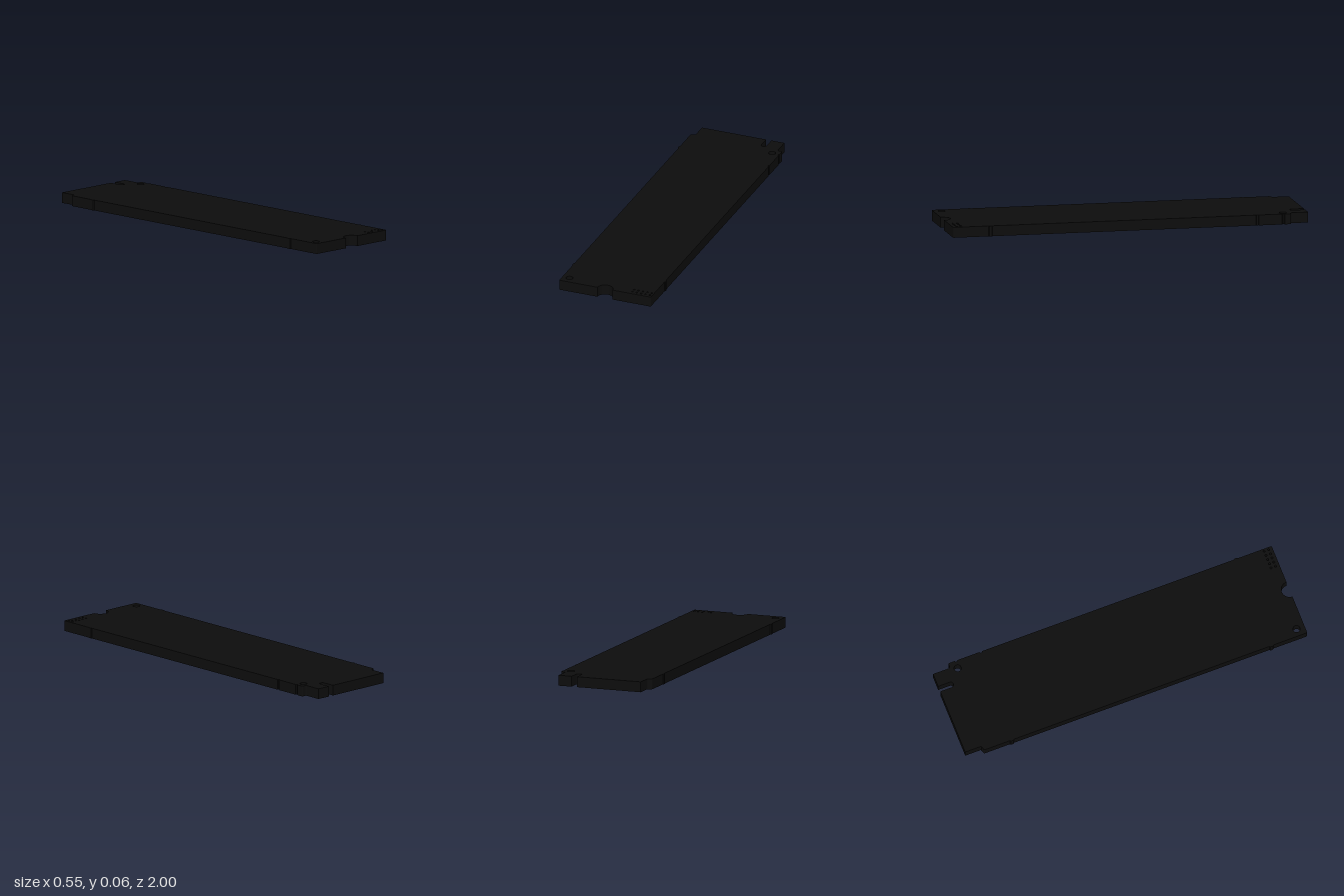
import * as THREE from 'three';

const THICKNESS = 0.058;
const HALF = 0.271; // half width of the board

// Plan outline, drawn with y = -z, counter-clockwise from the front left corner
function boardOutline() {
  const s = new THREE.Shape();
  const r = 0.008;
  // small bump (out > 0) or nick (out < 0) on a long edge
  const edgeMark = (side, z, out, half) => {
    const x = side * HALF;
    s.lineTo(x, -z - side * half);
    s.lineTo(x + side * out, -z - side * half * 0.6);
    s.lineTo(x + side * out, -z + side * half * 0.6);
    s.lineTo(x, -z + side * half);
  };

  // front edge with half-round screw notch
  s.moveTo(-HALF + r, -1);
  s.lineTo(-0.045, -1);
  s.absarc(0, -1, 0.045, Math.PI, 0, true);
  s.lineTo(HALF - r, -1);
  s.quadraticCurveTo(HALF, -1, HALF, -1 + r);

  // +x edge
  edgeMark(1, 0.79, 0.004, 0.012);
  edgeMark(1, -0.71, -0.006, 0.008);
  edgeMark(1, -0.855, -0.006, 0.008);
  s.lineTo(HALF, 0.9 - r);
  s.quadraticCurveTo(HALF, 0.9, HALF - r, 0.9);

  // connector tongue with rounded key slot
  s.lineTo(0.251, 0.9);
  s.quadraticCurveTo(0.243, 0.9, 0.243, 0.908);
  s.lineTo(0.243, 1);
  s.lineTo(0.166, 1);
  s.lineTo(0.166, 0.933);
  s.absarc(0.15, 0.933, 0.016, 0, -Math.PI, true);
  s.lineTo(0.134, 1);
  s.lineTo(-0.245, 1);
  s.lineTo(-0.245, 0.913);
  s.quadraticCurveTo(-0.245, 0.905, -0.253, 0.905);
  s.lineTo(-HALF + r, 0.9);
  s.quadraticCurveTo(-HALF, 0.9, -HALF, 0.9 - r);

  // -x edge
  edgeMark(-1, -0.735, 0.005, 0.012);
  edgeMark(-1, 0.79, 0.005, 0.012);
  s.lineTo(-HALF, -1 + r);
  s.quadraticCurveTo(-HALF, -1, -HALF + r, -1);
  return s;
}

export function createModel() {
  const group = new THREE.Group();
  group.name = 'circuitBoard';
  const black = new THREE.MeshStandardMaterial({ color: 0x0d0d0d });
  black.name = 'matte black';

  const shape = boardOutline();
  const addHole = (x, z, radius) => {
    const hole = new THREE.Path();
    hole.absarc(x, -z, radius, 0, Math.PI * 2, true);
    shape.holes.push(hole);
  };

  // locating holes
  addHole(0.227, -0.862, 0.02);
  addHole(-0.229, 0.953, 0.02);
  // two rows of pin holes
  for (let i = 0; i < 5; i++) {
    for (const z of [0.951, 0.977]) addHole(0.153 + i * 0.026, z, 0.006);
  }

  const geometry = new THREE.ExtrudeGeometry(shape, {
    depth: THICKNESS, bevelEnabled: false, curveSegments: 16,
  });
  geometry.rotateX(-Math.PI / 2);
  const board = new THREE.Mesh(geometry, black);
  board.name = 'board';
  group.add(board);
  return group;
}
